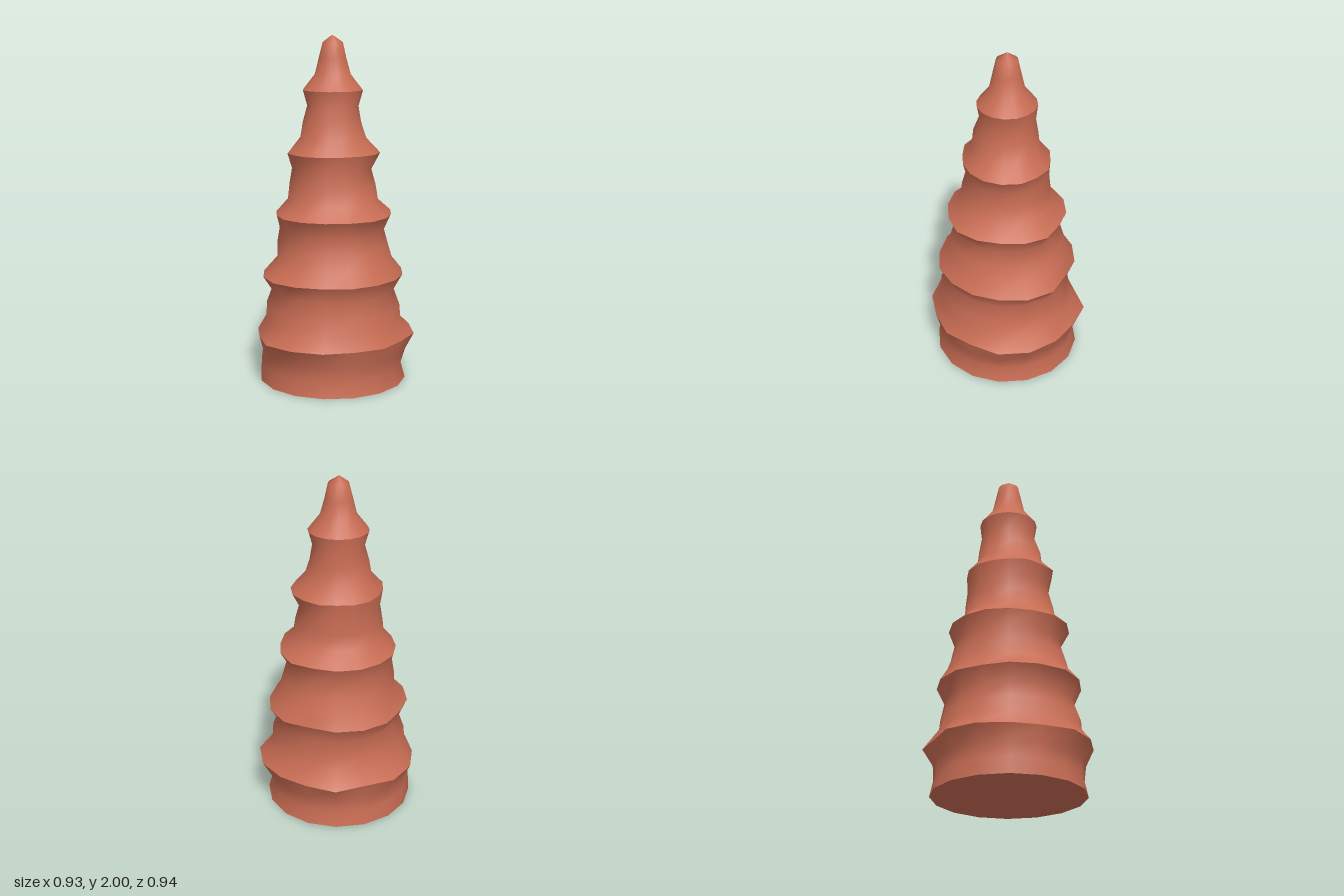
import * as THREE from 'three';

const SIDES = 16;
const AXIS_X = -0.02;

// Uneven outlines of the widest edges, radius per side from +x through +z
const RIM_1 = [.48, .448, .463, .45, .47, .475, .48, .44, .445, .466, .47, .435, .475, .45, .463, .48];
const RIM_2 = [.41, .41, .41, .417, .41, .42, .428, .414, .405, .39, .407, .41, .405, .39, .425, .424];
const RIM_3 = [.34, .352, .364, .35, .35, .355, .35, .331, .33, .34, .341, .345, .345, .341, .364, .354];
const RIM_4 = [.275, .271, .262, .257, .255, .279, .262, .266, .25, .248, .255, .253, .245, .262, .264, .276];

// Each row is [height, radii], radii being either 4 (+x, +z, -x, -z) or one per side
const rim1 = [0.27, RIM_1], rim2 = [0.625, RIM_2], rim3 = [0.98, RIM_3], rim4 = [1.335, RIM_4];
const rim5 = [1.69, [.175, .17, .17, .17]];
const foot = [0, [.43, .435, .43, .43]];
const TIERS = [
  [foot, [0.09, [.405, .415, .425, .41]], [0.175, [.43, .425, .415, .415]], rim1],
  [rim1, [0.355, [.40, .41, .395, .39]], [0.44, [.395, .405, .39, .38]], [0.535, [.36, .37, .355, .36]], rim2],
  [rim2, [0.715, [.35, .35, .325, .36]], [0.80, [.325, .33, .325, .33]], [0.89, [.30, .30, .31, .31]], rim3],
  [rim3, [1.06, [.265, .275, .26, .255]], [1.15, [.25, .26, .25, .25]], [1.24, [.225, .235, .235, .24]], rim4],
  [rim4, [1.42, [.195, .20, .185, .185]], [1.51, [.165, .19, .17, .175]], [1.60, [.15, .155, .145, .16]], rim5],
  [rim5, [1.78, [.105, .10, .10, .10]], [1.87, [.08, .08, .078, .08]], [1.96, [.06, .06, .055, .06]], [2, [0, 0, 0, 0]]],
];

// Point on a row; four-direction rows are blended smoothly between directions
function rowPoint([y, radii], i) {
  const angle = (i / SIDES) * Math.PI * 2;
  let r = radii[i];
  if (radii.length === 4) {
    const quarter = SIDES / 4;
    const k = Math.floor(i / quarter);
    const t = Math.sin(((i % quarter) / quarter) * Math.PI / 2) ** 2;
    r = radii[k] * (1 - t) + radii[(k + 1) % 4] * t;
  }
  return [AXIS_X + r * Math.cos(angle), y, r * Math.sin(angle)];
}

function makeGeometry(positions, indices) {
  const geometry = new THREE.BufferGeometry();
  geometry.setAttribute('position', new THREE.Float32BufferAttribute(positions, 3));
  geometry.setIndex(indices);
  geometry.computeVertexNormals();
  return geometry;
}

// Smooth band through a tier's rows, with a sharp edge where tiers meet
function tierGeometry(rows) {
  const positions = [], indices = [];
  rows.forEach((row, r) => {
    for (let i = 0; i < SIDES; i++) {
      positions.push(...rowPoint(row, i));
      if (r === rows.length - 1) continue;
      const a = r * SIDES + i, b = r * SIDES + (i + 1) % SIDES;
      const c = a + SIDES, d = b + SIDES;
      indices.push(a, c, b);
      if (rows[r + 1][1][0] > 0) indices.push(b, c, d);
    }
  });
  return makeGeometry(positions, indices);
}

// Flat underside
function baseGeometry(row) {
  const positions = [AXIS_X, row[0], 0], indices = [];
  for (let i = 0; i < SIDES; i++) {
    positions.push(...rowPoint(row, i));
    indices.push(0, i + 1, (i + 1) % SIDES + 1);
  }
  return makeGeometry(positions, indices);
}

export function createModel() {
  const group = new THREE.Group();
  group.name = 'tieredCone';
  const clay = new THREE.MeshStandardMaterial({ color: 0xc96d54 });
  clay.name = 'clay';

  const add = (name, geometry) => {
    const mesh = new THREE.Mesh(geometry, clay);
    mesh.name = name;
    group.add(mesh);
  };

  const names = ['foot', 'firstTier', 'secondTier', 'thirdTier', 'fourthTier', 'tip'];
  TIERS.forEach((rows, n) => add(names[n], tierGeometry(rows)));
  add('base', baseGeometry(foot));
  return group;
}
